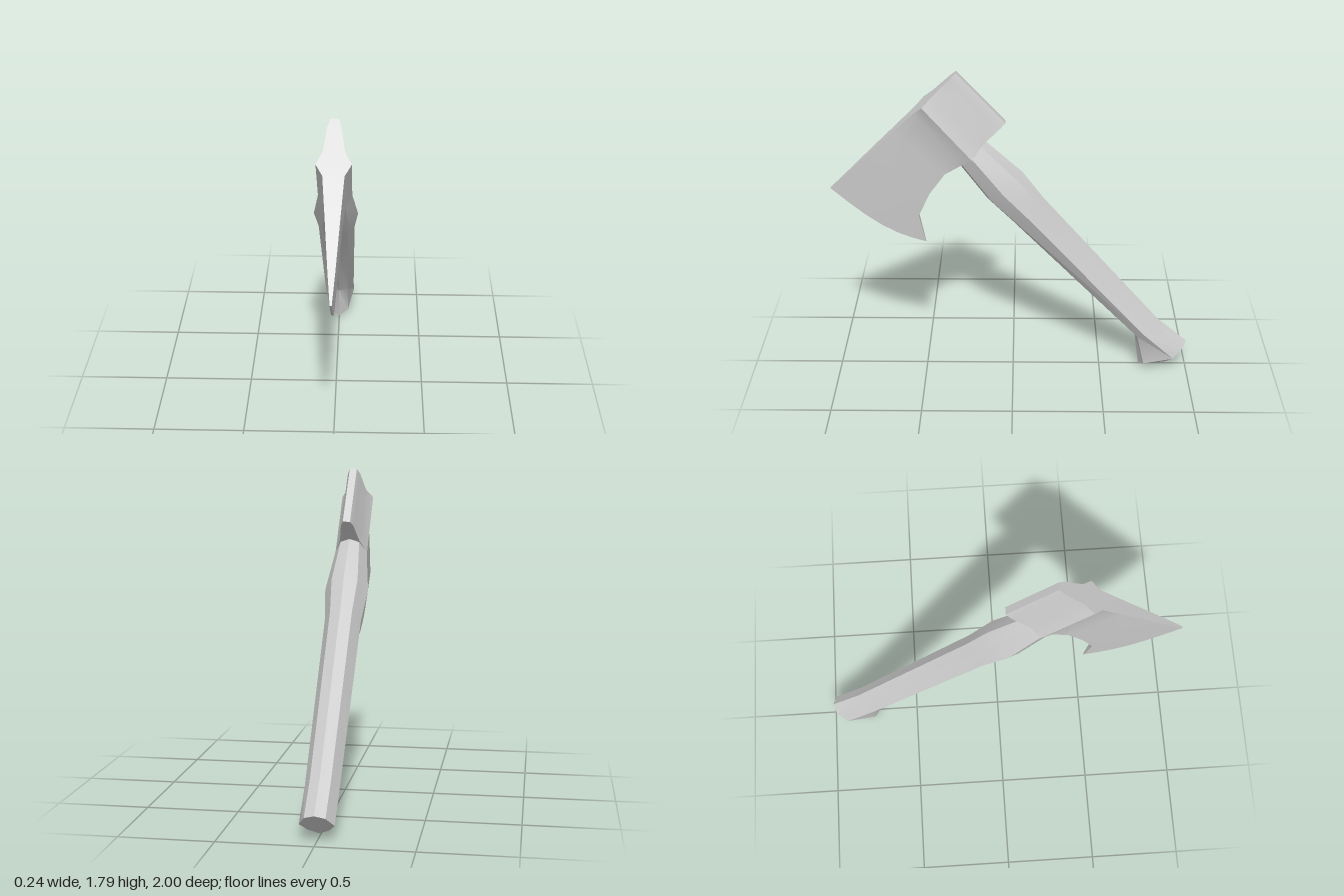
import * as THREE from 'three';
import { toCreasedNormals } from 'three/addons/utils/BufferGeometryUtils.js';

// Lofts mirrored rings. Each ring is a half outline of [x >= 0, y, z] points.
function loft(halves, crease) {
  const rings = halves.map(h => {
    const right = h.map(p => new THREE.Vector3(...p));
    const left = right.map(p => new THREE.Vector3(-p.x, p.y, p.z)).reverse();
    return [...right, ...left];
  });
  const pos = [];
  const tri = (a, b, c) => {
    const area = b.clone().sub(a).cross(c.clone().sub(a)).length();
    if (area > 1e-7) for (const p of [a, b, c]) pos.push(p.x, p.y, p.z);
  };
  const quad = (a, b, c, d) => { tri(a, b, c); tri(a, c, d); };
  const n = rings[0].length;
  for (let i = 0; i < rings.length - 1; i++) {
    const r = rings[i], s = rings[i + 1];
    for (let j = 0; j < n; j++) {
      const k = (j + 1) % n;
      quad(r[j], s[j], s[k], r[k]);
    }
  }
  // end caps, as strips from the right side to the left
  const first = rings[0], last = rings[rings.length - 1];
  for (let j = 0; j < n / 2 - 1; j++) {
    const m = n - 1 - j;
    quad(first[j], first[j + 1], first[m - 1], first[m]);
    quad(last[j], last[m], last[m - 1], last[j + 1]);
  }
  const g = new THREE.BufferGeometry();
  g.setAttribute('position', new THREE.Float32BufferAttribute(pos, 3));
  return toCreasedNormals(g, crease);
}

const mix = THREE.MathUtils.lerp;

// Eight-sided handle section; front, side and back are [z, y]
function handleRing(w, front, side, back) {
  const between = (p, t) => [w * 0.6, mix(side[1], p[1], t), mix(side[0], p[0], t)];
  return [
    [0, front[1], front[0]], between(front, 0.75), [w, side[1], side[0]],
    between(back, 0.75), [0, back[1], back[0]],
  ];
}

function handleGeometry() {
  const rings = [
    handleRing(0.085, [0.34, 1.32], [0.28, 1.39], [0.22, 1.46]),
    handleRing(0.088, [0.295, 1.27], [0.225, 1.335], [0.155, 1.405]),
    handleRing(0.12, [0.14, 1.06], [0.05, 1.13], [-0.05, 1.22]),
    handleRing(0.1, [0, 0.92], [-0.085, 0.98], [-0.17, 1.06]),
    handleRing(0.09, [-0.7, 0.2], [-0.75, 0.24], [-0.83, 0.3]),
    handleRing(0.09, [-0.73, 0], [-0.92, 0.085], [-1, 0.155]),
    handleRing(0.09, [-0.85, 0.02], [-0.92, 0.085], [-1, 0.155]),
  ];
  rings[5][1] = [0.055, 0.03, -0.755];  // hooked toe of the grip
  rings[6][1] = [0.055, 0.045, -0.875];
  return loft(rings, 0.6);
}

function headGeometry() {
  // half width, top [z, y], bottom [z, y], from the poll to the cutting edge
  const columns = [
    [0.02, [0.3, 1.79], [0.04, 1.51]],
    [0.035, [0.33, 1.762], [0.068, 1.485]],
    [0.055, [0.43, 1.667], [0.165, 1.395]],
    [0.09, [0.48, 1.62], [0.22, 1.322]],
    [0.055, [0.525, 1.578], [0.285, 1.275]],
    [0.043, [0.64, 1.467], [0.37, 1.22]],
    [0.031, [0.76, 1.352], [0.455, 1.1]],
    [0.019, [0.88, 1.235], [0.52, 0.96]],
    [0.005, [1, 1.12], [0.485, 0.795]],
  ];
  const rows = 6;
  const rings = columns.map(([w, top, bottom], i) => {
    const bow = Math.max(0, (i - 4) / 4) ** 2;  // curve of the cutting edge
    return Array.from({ length: rows + 1 }, (_, j) => {
      const v = j / rows, b = bow * Math.sin(Math.PI * v);
      return [w, mix(top[1], bottom[1], v) - 0.062 * b, mix(top[0], bottom[0], v) - 0.018 * b];
    });
  });
  return loft(rings, 0.5);
}

export function createModel() {
  const group = new THREE.Group();
  group.name = 'axe';
  const material = new THREE.MeshStandardMaterial({ color: 0xcccccc });
  const add = (name, geometry) => {
    const mesh = new THREE.Mesh(geometry, material);
    mesh.name = name;
    group.add(mesh);
  };
  add('handle', handleGeometry());
  add('axeHead', headGeometry());
  return group;
}
